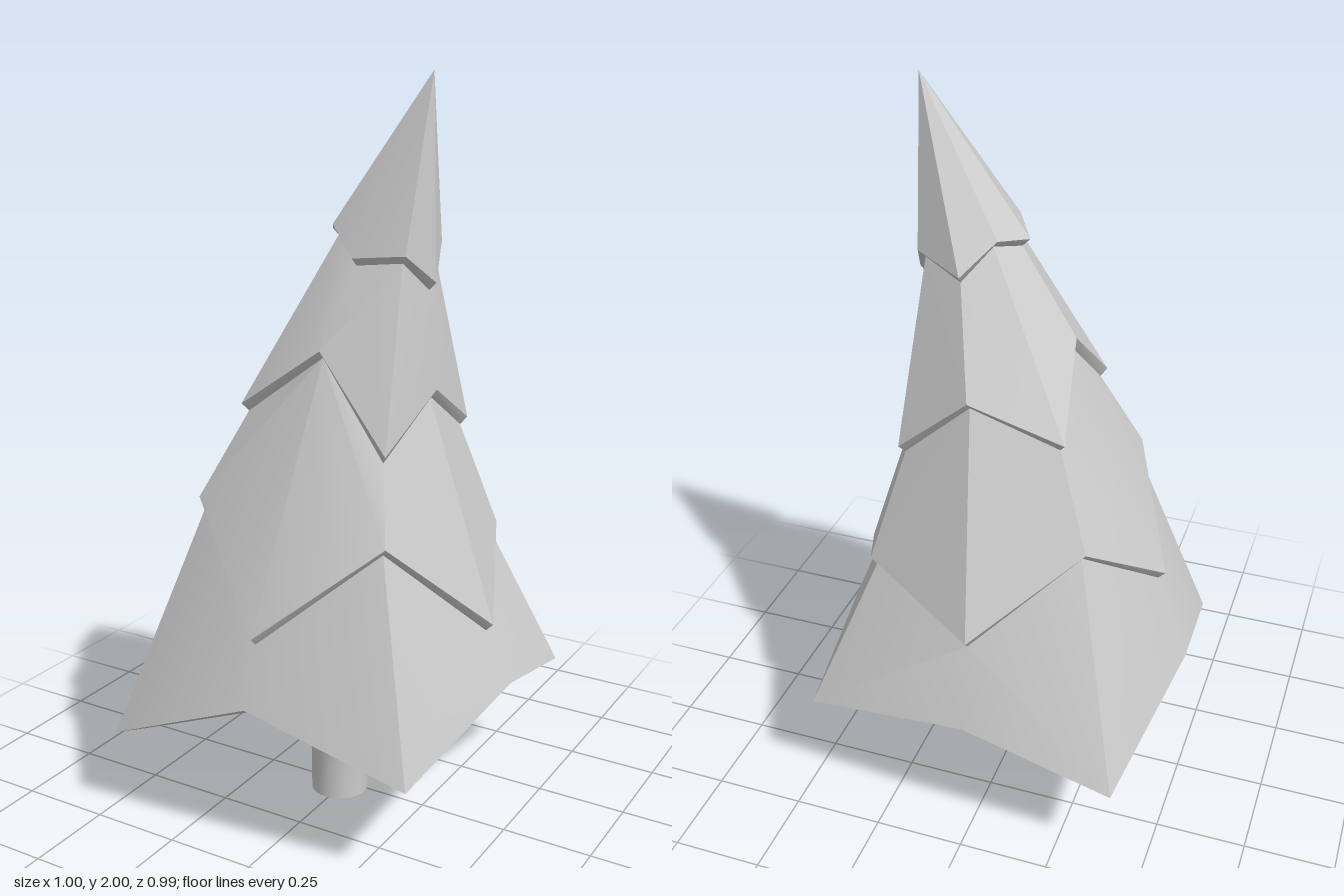
import * as THREE from 'three';
import { toCreasedNormals } from 'three/addons/utils/BufferGeometryUtils.js';

const V = (x, y, z) => new THREE.Vector3(x, y, z);

// Hem of each branch tier, eight points from the front round by +x.
const hems = [
  [[-0.01, 0.445, 0.492], [0.405, 0.285, 0.4], [0.495, 0.43, -0.02], [0.462, 0.33, -0.425],
    [-0.01, 0.43, -0.495], [-0.41, 0.27, -0.453], [-0.5, 0.43, -0.01], [-0.457, 0.25, 0.462]],
  [[-0.01, 0.625, 0.455], [0.28, 0.865, 0.285], [0.457, 0.605, 0.02], [0.318, 0.77, -0.293],
    [-0.005, 0.67, -0.44], [-0.27, 0.89, -0.26], [-0.425, 0.69, 0], [-0.27, 0.915, 0.3]],
  [[0.06, 1.33, 0.232], [0.25, 1.085, 0.235], [0.28, 1.215, 0.02], [0.257, 1.085, -0.213],
    [0.055, 1.26, -0.237], [-0.19, 1.165, -0.2], [-0.15, 1.355, 0.02], [-0.178, 1.165, 0.23]],
  [[0.112, 1.555, 0.163], [0.243, 1.565, 0.128], [0.278, 1.49, 0.03], [0.24, 1.58, -0.072],
    [0.108, 1.55, -0.135], [0.03, 1.63, -0.07], [-0.022, 1.605, 0.028], [0.037, 1.63, 0.127]],
].map(h => h.map(p => V(...p)));
const apex = V(0.262, 2, 0.03);

// Pull a ring towards its middle by a fixed distance and shift it in height.
function inset(ring, dist, dy) {
  const c = ring.reduce((s, p) => s.add(p), V(0, 0, 0)).divideScalar(ring.length);
  return ring.map(p => {
    const d = V(c.x - p.x, 0, c.z - p.z).setLength(dist);
    return V(p.x + d.x, p.y + dy, p.z + d.z);
  });
}

// Skin closed rings, splitting each quad so that it bulges outwards.
function loft(rings, crease) {
  const pos = [];
  const tri = (a, b, c) => {
    if (a.distanceTo(b) < 1e-5 || b.distanceTo(c) < 1e-5 || a.distanceTo(c) < 1e-5) return;
    for (const p of [a, b, c]) pos.push(p.x, p.y, p.z);
  };
  const plane = new THREE.Plane();
  for (let k = 0; k < rings.length - 1; k++) {
    const A = rings[k], B = rings[k + 1], n = A.length;
    for (let i = 0; i < n; i++) {
      const j = (i + 1) % n;
      plane.setFromCoplanarPoints(A[i], A[j], B[j]);
      if (plane.distanceToPoint(B[i]) <= 0) {
        tri(A[i], A[j], B[j]);
        tri(A[i], B[j], B[i]);
      } else {
        tri(A[i], A[j], B[i]);
        tri(A[j], B[j], B[i]);
      }
    }
  }
  const g = new THREE.BufferGeometry();
  g.setAttribute('position', new THREE.Float32BufferAttribute(pos, 3));
  return toCreasedNormals(g, crease);
}

export function createModel() {
  const group = new THREE.Group();
  const mat = new THREE.MeshStandardMaterial({ color: 0xcccccc });
  const add = (name, geo) => {
    const m = new THREE.Mesh(geo, mat);
    m.name = name;
    group.add(m);
    return m;
  };

  // Branch tiers: a thin edge under the hem, then a wall up to the next tier's edge
  const names = ['bottomBranches', 'lowerBranches', 'upperBranches', 'treeTop'];
  const bottomLip = inset(hems[0], 0.07, 0).map((p, i) => (i % 2 ? p : p.setY(p.y - 0.03)));
  const lips = hems.map((hem, i) => (i === 0 ? bottomLip : inset(hem, 0.02, -0.02)));
  hems.forEach((hem, i) => {
    const top = lips[i + 1] ?? hem.map(() => apex);
    add(names[i], loft([lips[i], hem, top], 0.55));
  });

  // Trunk flaring smoothly into the hollow underside of the bottom tier
  const sides = 32;
  const cx = -0.008, cz = 0.02;
  const rim = [];
  for (let i = 0; i < sides; i++) {
    const k = Math.floor(i / 4);
    rim.push(bottomLip[k].clone().lerp(bottomLip[(k + 1) % 8], (i % 4) / 4));
  }
  const circle = (r, y) => Array.from({ length: sides }, (_, i) => {
    const a = i / sides * Math.PI * 2;
    return V(cx + r * Math.sin(a), y, cz + r * Math.cos(a));
  });
  const profile = [[0.08, 0], [0.08, 0.11], [0.086, 0.19], [0.1, 0.265], [0.12, 0.325],
    [0.146, 0.375], [0.178, 0.42], [0.21, 0.455], [0.25, 0.48], [0.3, 0.485]];
  const rings = profile.map(([r, y]) => circle(r, y));
  const vault = rings[rings.length - 1];
  for (const [t, lift] of [[0.35, 0.025], [0.7, 0.025], [1, 0]]) {
    rings.push(vault.map((p, i) => p.clone().lerp(rim[i], t).add(V(0, lift, 0))));
  }
  add('trunk', loft(rings, 1.1));

  // Cut end of the trunk
  const base = add('trunkBase', new THREE.CircleGeometry(0.08, sides));
  base.rotation.x = Math.PI / 2;
  base.position.set(cx, 0, cz);

  return group;
}
